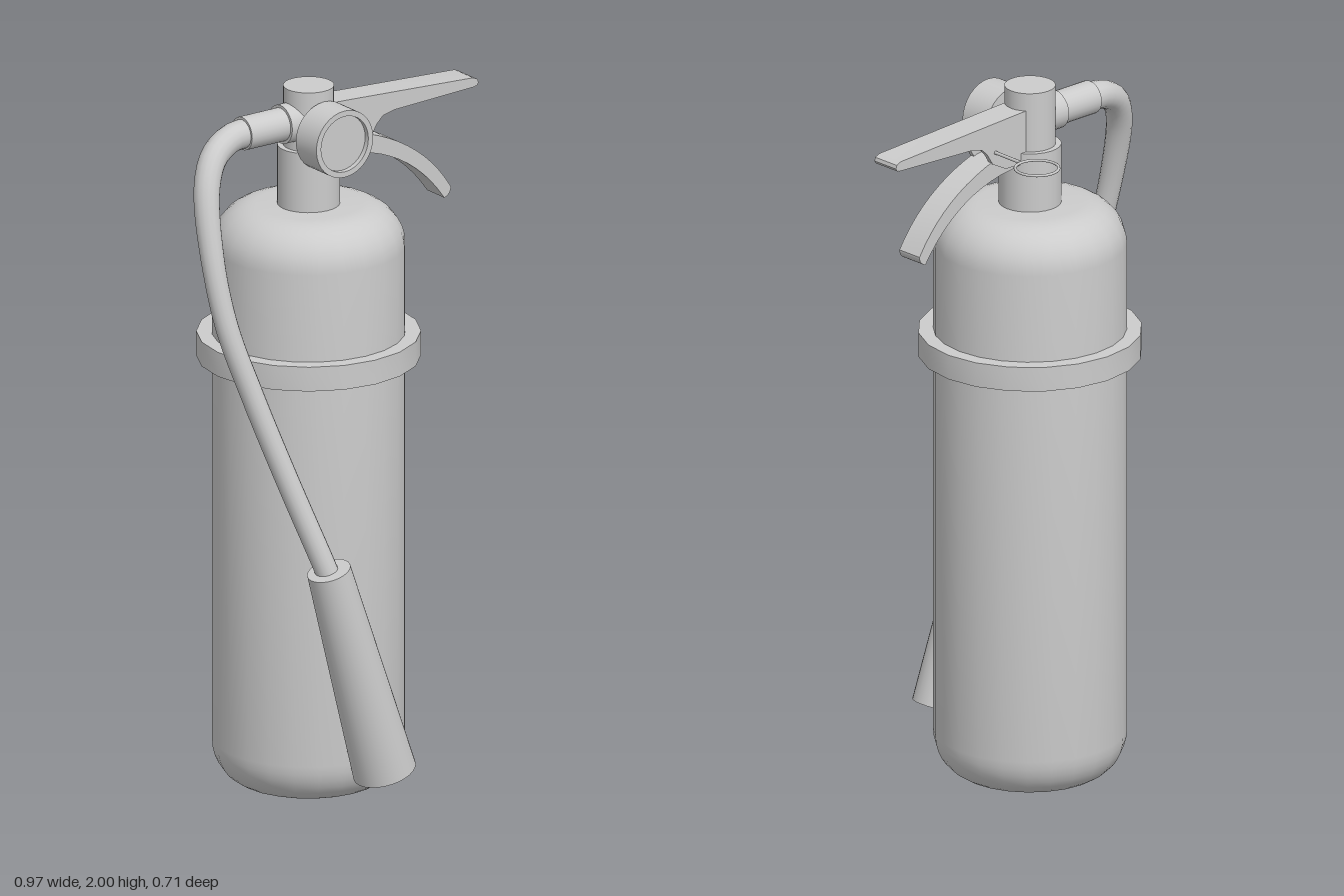
import * as THREE from 'three';
import { toCreasedNormals } from 'three/addons/utils/BufferGeometryUtils.js';

const AX = -0.06, AZ = -0.05; // axis of the cylinder
const material = new THREE.MeshStandardMaterial({ color: 0xcccccc, side: THREE.DoubleSide });
const V = (x, y, z) => new THREE.Vector3(x, y, z);

function add(group, name, geometry, x = 0, y = 0, z = 0) {
  const mesh = new THREE.Mesh(geometry, material);
  mesh.name = name;
  mesh.position.set(x, y, z);
  group.add(mesh);
  return mesh;
}

// Turned solid with crisp edges where the profile bends sharply
function turned(points, sides) {
  const geo = new THREE.LatheGeometry(points.map(p => new THREE.Vector2(...p)), sides);
  return toCreasedNormals(geo, 0.7);
}

// Round bar between two points, r0 at a and r1 at b
function rod(group, name, a, b, r0, r1 = r0, sides = 24) {
  const dir = b.clone().sub(a);
  const mesh = add(group, name, new THREE.CylinderGeometry(r1, r0, dir.length(), sides));
  mesh.position.copy(a).addScaledVector(dir, 0.5);
  mesh.quaternion.setFromUnitVectors(V(0, 1, 0), dir.normalize());
}

// Side profile given thickness along z
function plate(shape, z, depth) {
  const geo = new THREE.ExtrudeGeometry(shape, { depth, bevelEnabled: false, curveSegments: 10 });
  geo.translate(0, 0, z - depth / 2);
  return toCreasedNormals(geo, 0.5);
}

function polygon(points) {
  return new THREE.Shape(points.map(p => new THREE.Vector2(...p)));
}

// Tube whose radius follows a rule along its length
function taperedTube(curve, radiusAt, steps, sides) {
  const geo = new THREE.TubeGeometry(curve, steps, 1, sides);
  const pos = geo.attributes.position, p = new THREE.Vector3();
  for (let i = 0; i <= steps; i++) {
    const centre = curve.getPointAt(i / steps);
    for (let j = 0; j <= sides; j++) {
      const k = i * (sides + 1) + j;
      p.fromBufferAttribute(pos, k).sub(centre).multiplyScalar(radiusAt(i / steps)).add(centre);
      pos.setXYZ(k, p.x, p.y, p.z);
    }
  }
  return geo;
}

export function createModel() {
  const model = new THREE.Group();

  // Tank with rounded shoulder and base
  const profile = [[0, 0], [0.1, 0]];
  for (let i = 0; i <= 8; i++) {
    const a = (i / 8) * Math.PI / 2;
    profile.push([0.165 + 0.1 * Math.sin(a), 0.12 - 0.12 * Math.cos(a)]);
  }
  for (let i = 0; i <= 8; i++) {
    const a = (i / 8) * Math.PI / 2;
    profile.push([0.145 + 0.12 * Math.cos(a), 1.54 + 0.12 * Math.sin(a)]);
  }
  profile.push([0, 1.66]);
  add(model, 'tank', turned(profile, 24), AX, 0, AZ);

  // Strap around the tank
  add(model, 'strap', turned([[0.255, 1.22], [0.307, 1.22], [0.307, 1.29], [0.255, 1.29], [0.255, 1.22]], 20), AX, 0, AZ);

  // Valve
  const valve = new THREE.Group();
  valve.name = 'valve';
  model.add(valve);
  add(valve, 'neck', new THREE.CylinderGeometry(0.086, 0.086, 0.19, 28), AX, 1.735, AZ);
  add(valve, 'stem', new THREE.CylinderGeometry(0.07, 0.07, 0.2, 28), AX, 1.9, AZ);
  rod(valve, 'outletCollar', V(AX, 1.905, AZ), V(-0.155, 1.905, AZ), 0.055);
  rod(valve, 'outlet', V(-0.15, 1.905, AZ), V(-0.285, 1.905, AZ), 0.047);

  // Gauge with a recessed dial
  const gauge = add(valve, 'gauge', turned([[0, 0], [0.096, 0], [0.096, 0.095], [0.08, 0.095], [0.08, 0.08], [0, 0.08]], 32), AX, 1.875, 0.022);
  gauge.rotation.x = Math.PI / 2;

  // Handles
  const handles = new THREE.Group();
  handles.name = 'handles';
  model.add(handles);
  const width = 0.086;

  // Upper lever: a channel, open underneath
  const top = polygon([[-0.02, 1.95], [0.03, 1.948], [0.465, 1.925], [0.48, 1.918], [0.483, 1.908],
    [0.478, 1.9], [0.465, 1.898], [0.45, 1.912], [0.03, 1.934], [-0.02, 1.936]]);
  add(handles, 'upperLever', plate(top, AZ, width));
  const cheek = polygon([[-0.02, 1.945], [0.03, 1.945], [0.47, 1.92], [0.47, 1.898], [0.2, 1.887],
    [0.16, 1.878], [0.14, 1.858], [0.12, 1.826], [0.07, 1.8], [-0.02, 1.8]]);
  for (const s of [-1, 1]) add(handles, 'upperLeverCheek', plate(cheek, AZ + s * (width / 2 - 0.007), 0.014));

  // Lower grip, bowed downward
  const grip = new THREE.Shape();
  grip.moveTo(-0.02, 1.845);
  grip.lineTo(0.11, 1.835);
  grip.quadraticCurveTo(0.3, 1.775, 0.392, 1.625);
  grip.quadraticCurveTo(0.392, 1.605, 0.37, 1.597);
  grip.quadraticCurveTo(0.265, 1.75, 0.09, 1.785);
  grip.lineTo(-0.02, 1.8);
  add(handles, 'lowerGrip', plate(grip, AZ, 0.08));

  // Safety pin with pull ring
  rod(handles, 'safetyPin', V(0.108, 1.858, 0), V(0.112, 1.858, -0.195), 0.005, 0.005, 8);
  const ring = add(handles, 'pullRing', new THREE.TorusGeometry(0.06, 0.004, 8, 32), 0.108, 1.858, -0.256);
  ring.rotation.x = Math.PI / 2;

  // Hose sweeping down to the nozzle
  const hose = new THREE.CatmullRomCurve3([
    V(-0.27, 1.905, -0.05), V(-0.33, 1.9, -0.045), V(-0.395, 1.865, -0.03), V(-0.437, 1.79, -0.005),
    V(-0.454, 1.62, 0.04), V(-0.437, 1.42, 0.085), V(-0.383, 1.22, 0.13),
    V(-0.31, 0.98, 0.19), V(-0.235, 0.74, 0.257), V(-0.22, 0.69, 0.27),
  ]);
  add(model, 'hose', taperedTube(hose, t => 0.032 + 0.009 * Math.max(0, 1 - 3 * t), 56, 16));
  rod(model, 'nozzle', V(-0.226, 0.72, 0.27), V(-0.036, 0.103, 0.268), 0.061, 0.088, 28);

  return model;
}
